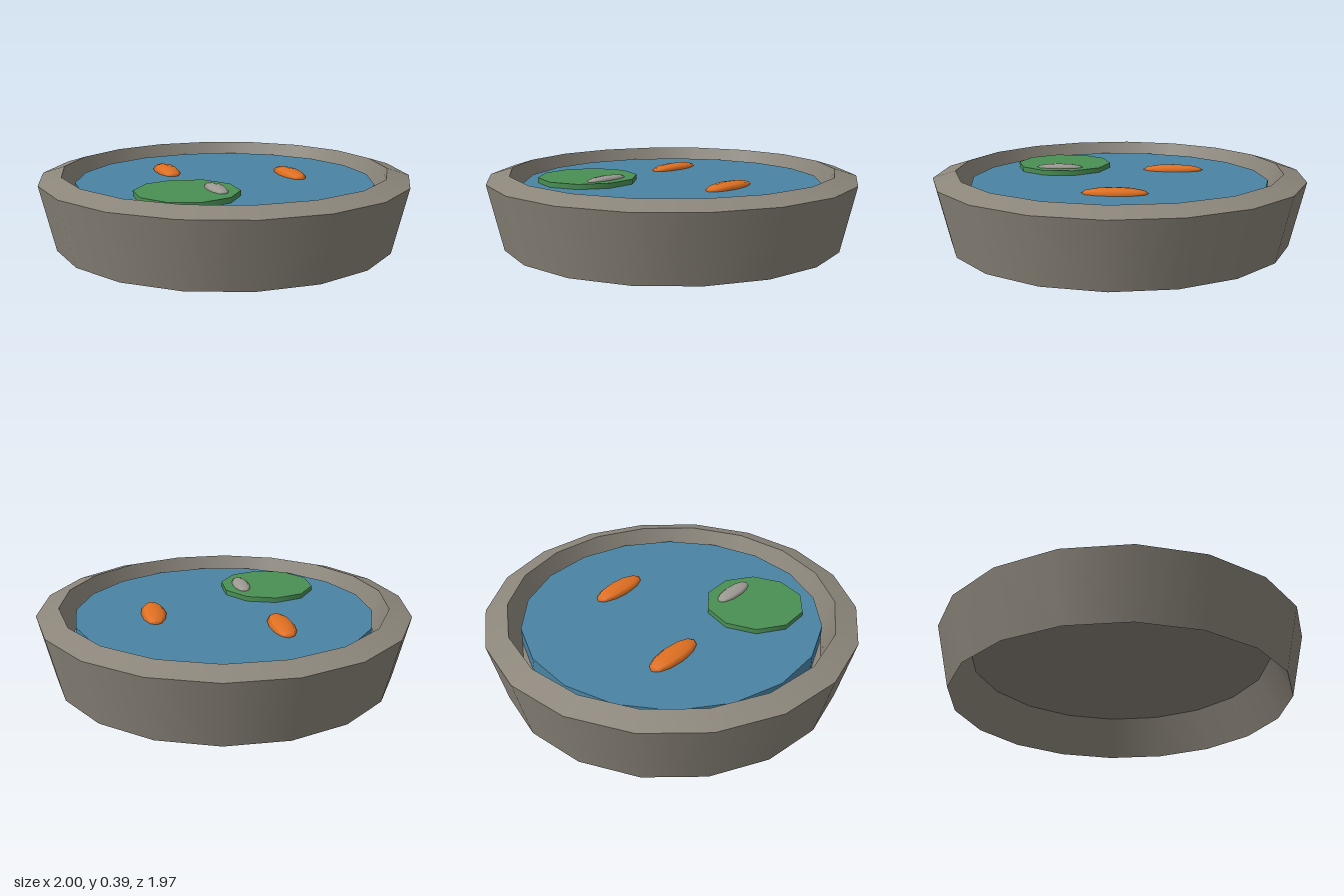
import * as THREE from 'three';
import { mergeGeometries } from 'three/addons/utils/BufferGeometryUtils.js';

const mat = (name, color, side = THREE.FrontSide) => {
  const m = new THREE.MeshStandardMaterial({ color, side });
  m.name = name;
  return m;
};

// Lathe with a sharp edge at every profile point, smooth around the ring
function creasedLathe(profile, sides) {
  const bands = [];
  for (let i = 0; i < profile.length - 1; i++) {
    const pts = [profile[i], profile[i + 1]].map(([r, y]) => new THREE.Vector2(r, y));
    bands.push(new THREE.LatheGeometry(pts, sides));
  }
  return mergeGeometries(bands).rotateY(Math.PI / 2);
}

export function createModel() {
  const group = new THREE.Group();
  const stone = mat('stone', 0x8c867b, THREE.DoubleSide);
  const water = mat('water', 0x4a84a4);
  const leaf = mat('leaf green', 0x4a9054);
  const orange = mat('fish orange', 0xe07022);
  const grey = mat('pale grey', 0x9e9a94);

  const add = (name, geometry, material, x = 0, y = 0, z = 0) => {
    const mesh = new THREE.Mesh(geometry, material);
    mesh.name = name;
    mesh.position.set(x, y, z);
    group.add(mesh);
    return mesh;
  };

  // Flared stone ring, hollow underneath, with a raised floor
  add('basinWall', creasedLathe([[0.92, 0], [1, 0.35], [0.88, 0.387], [0.82, 0.23], [0.92, 0]], 18), stone);
  add('basinFloor', creasedLathe([[0, 0.23], [0.82, 0.23]], 18), stone);

  // Water disc and floating lily pad
  add('water', new THREE.CylinderGeometry(0.806, 0.806, 0.09, 18), water, 0, 0.28, 0);
  add('lilyPad', new THREE.CylinderGeometry(0.267, 0.267, 0.03, 10), leaf, -0.31, 0.337, 0.34);

  // Long low ellipsoids: two fish and a creature resting on the pad
  const ellipsoid = (w, h, l) => new THREE.SphereGeometry(1, 8, 6).rotateX(Math.PI / 2).scale(w, h, l);
  add('fishLeft', ellipsoid(0.068, 0.03, 0.17), orange, 0.383, 0.328, 0);
  add('fishRight', ellipsoid(0.068, 0.03, 0.17), orange, -0.252, 0.328, -0.295);
  add('padPebble', ellipsoid(0.05, 0.02, 0.13), grey, -0.16, 0.352, 0.348);

  return group;
}
